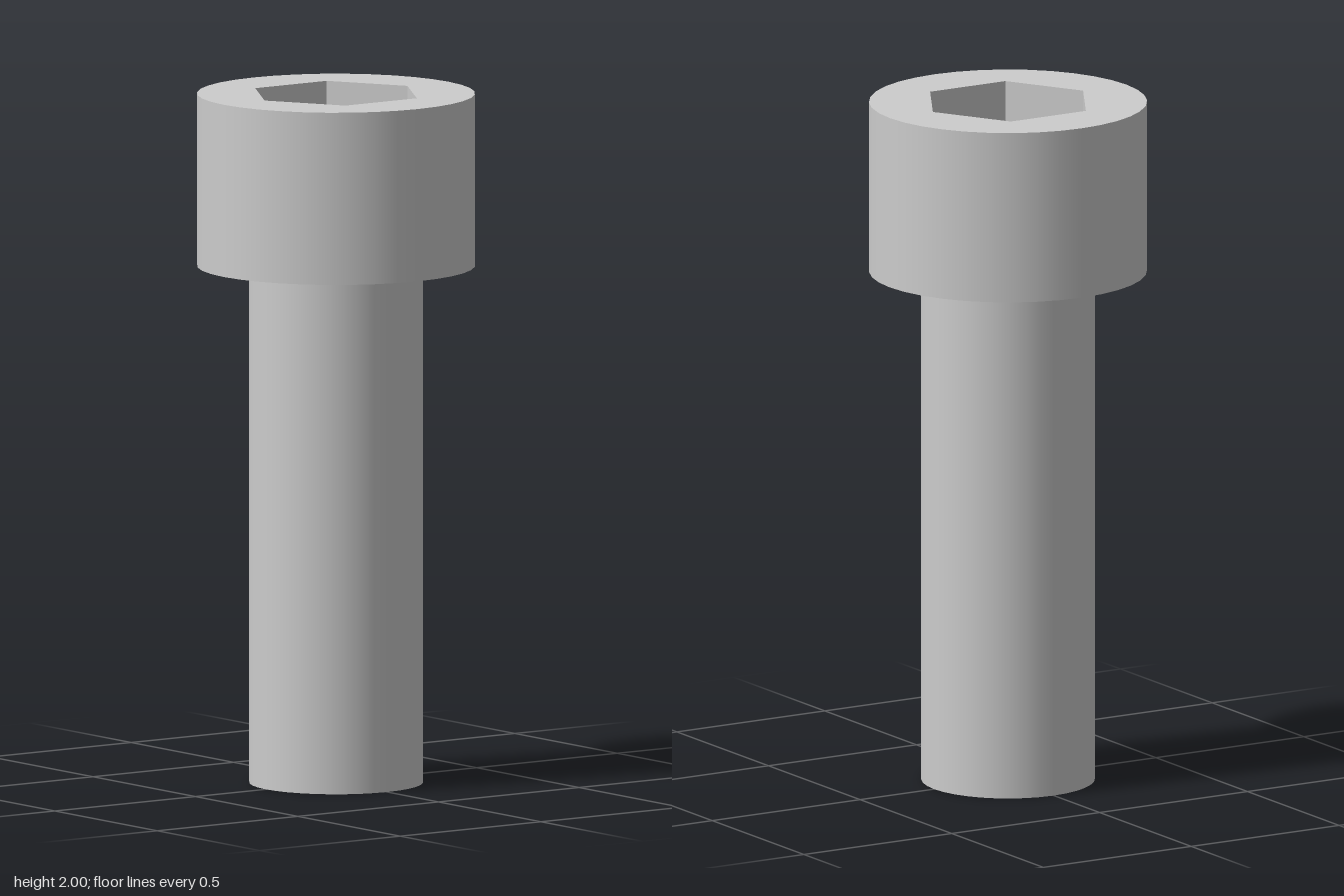
import * as THREE from 'three';

const SIDES = 36;
const SHAFT_R = 0.25, HEAD_R = 0.4, SOCKET_R = 0.254;
const HEAD_Y = 1.5, TOP_Y = 2, SOCKET_DEPTH = 0.25;

// Points of a regular polygon with one corner on +x
function polygon(radius, sides) {
  return Array.from({ length: sides }, (_, i) => {
    const a = (i / sides) * Math.PI * 2;
    return new THREE.Vector2(Math.cos(a) * radius, Math.sin(a) * radius);
  });
}

// Flat horizontal face, facing up or down, with an optional hole
function flatFace(outline, hole, y, up) {
  const shape = new THREE.Shape(outline);
  if (hole) shape.holes.push(new THREE.Path(hole));
  return new THREE.ShapeGeometry(shape).rotateX(up ? -Math.PI / 2 : Math.PI / 2).translate(0, y, 0);
}

// Open tube wall between two heights
function wall(radius, sides, y0, y1) {
  return new THREE.CylinderGeometry(radius, radius, y1 - y0, sides, 1, true, Math.PI / 2)
    .translate(0, (y0 + y1) / 2, 0);
}

export function createModel() {
  const steel = new THREE.MeshStandardMaterial({ color: 0xcccccc });
  steel.name = 'steel';

  const model = new THREE.Group();
  model.name = 'socketHeadBolt';
  const add = (name, geometry) => {
    const mesh = new THREE.Mesh(geometry, steel);
    mesh.name = name;
    model.add(mesh);
  };

  const shaftOutline = polygon(SHAFT_R, SIDES);
  const headOutline = polygon(HEAD_R, SIDES);
  const hexagon = polygon(SOCKET_R, 6);
  const floorY = TOP_Y - SOCKET_DEPTH;

  // Plain round shaft
  add('shaft', wall(SHAFT_R, SIDES, 0, HEAD_Y));
  add('shaftEnd', flatFace(shaftOutline, null, 0, false));

  // Head with a hexagonal opening in its top
  add('head', wall(HEAD_R, SIDES, HEAD_Y, TOP_Y));
  add('headUnderside', flatFace(headOutline, shaftOutline, HEAD_Y, false));
  add('headTop', flatFace(headOutline, hexagon, TOP_Y, true));

  // Socket walls, mirrored so they face inward, with flat facets
  const socket = wall(SOCKET_R, 6, floorY, TOP_Y).scale(-1, 1, 1).toNonIndexed();
  socket.computeVertexNormals();
  add('socketWalls', socket);
  add('socketFloor', flatFace(hexagon, null, floorY, true));

  return model;
}
